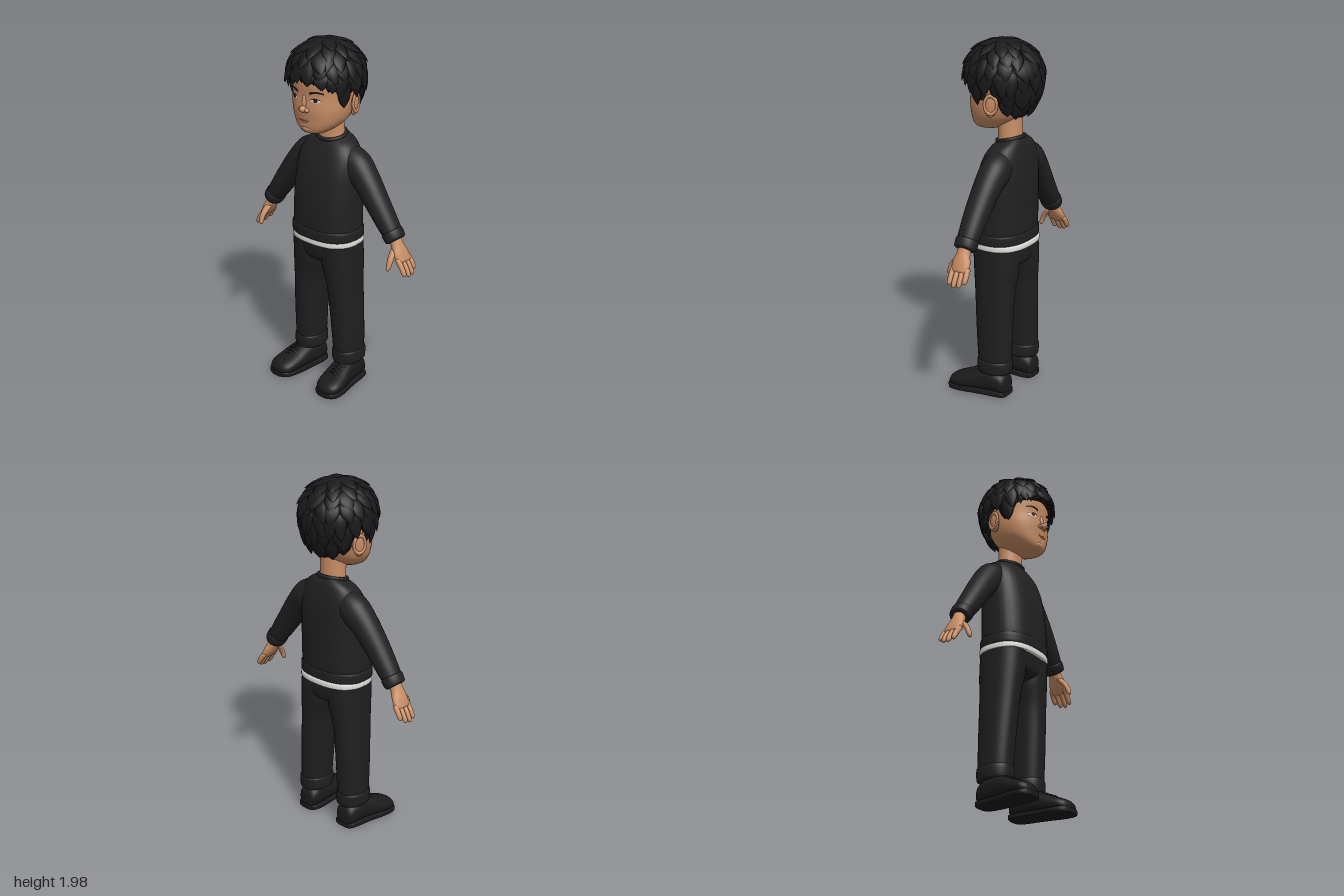
import * as THREE from 'three';
import { mergeGeometries } from 'three/addons/utils/BufferGeometryUtils.js';

const V = (x, y, z) => new THREE.Vector3(x, y, z);
const rad = THREE.MathUtils.degToRad;
const mat = (name, color, side = THREE.FrontSide) => Object.assign(new THREE.MeshStandardMaterial({ color, side }), { name });

// Catmull-Rom refinement of rows of numbers
function smooth(keys, n = 4) {
  const out = [], last = keys.length - 1;
  for (let i = 0; i < last; i++) {
    const a = keys[Math.max(i - 1, 0)], b = keys[i], c = keys[i + 1], d = keys[Math.min(i + 2, last)];
    for (let k = 0; k < n; k++) {
      const t = k / n;
      out.push(b.map((_, j) => 0.5 * (2 * b[j] + (c[j] - a[j]) * t + (2 * a[j] - 5 * b[j] + 4 * c[j] - d[j]) * t * t
        + (3 * b[j] - a[j] - 3 * c[j] + d[j]) * t ** 3)));
    }
  }
  return [...out, keys[last]];
}

// Surface over rows of points; closed rows wrap and get end caps
function skin(rows, closed = true) {
  const n = rows[0].length, pos = [], idx = [];
  rows.forEach(r => r.forEach(p => pos.push(p.x, p.y, p.z)));
  for (let i = 0; i < rows.length - 1; i++) for (let j = 0; j < (closed ? n : n - 1); j++) {
    const a = i * n + j, b = i * n + (j + 1) % n;
    idx.push(a, b, a + n, b, b + n, a + n);
  }
  if (closed) [0, rows.length - 1].forEach(i => {
    const c = rows[i].reduce((s, p) => s.add(p), V(0, 0, 0)).divideScalar(n), m = pos.length / 3;
    pos.push(c.x, c.y, c.z);
    for (let j = 0; j < n; j++) {
      const a = i * n + j, b = i * n + (j + 1) % n;
      idx.push(m, ...(i ? [a, b] : [b, a]));
    }
  });
  const g = new THREE.BufferGeometry();
  g.setAttribute('position', new THREE.Float32BufferAttribute(pos, 3));
  g.setIndex(idx);
  g.computeVertexNormals();
  return g;
}

// Loft through rings {c, u, v} with a superellipse outline
function loft(rings, seg = 28, power = 2) {
  const d = rings[rings.length - 1].c.clone().sub(rings[0].c);
  const f = x => Math.sign(x) * Math.abs(x) ** (2 / power);
  const flip = rings[0].u.clone().cross(rings[0].v).dot(d) < 0 ? -1 : 1;
  return skin(rings.map(({ c, u, v }) => Array.from({ length: seg }, (_, j) => {
    const t = j / seg * Math.PI * 2;
    return c.clone().addScaledVector(u, f(Math.cos(t))).addScaledVector(v, f(Math.sin(t)) * flip);
  })));
}

// Upright body: keys [y, centre x, half width, front z, back z, forward dip]
const stack = (keys, power = 2.3, side = 1, n = 4) => loft(smooth(keys, n).map(([y, x, w, f, b, dip]) =>
  ({ c: V(side * x, y, (f + b) / 2), u: V(w, 0, 0), v: V(0, -(dip || 0), (f - b) / 2) })), 36, power);

// Limb: keys [x, y, z, radius across, radius in z]
function limb(keys, side = 1, seg = 20) {
  const k = smooth(keys);
  return loft(k.map(([x, y, z, r, rz], i) => {
    const a = k[Math.max(i - 1, 0)], b = k[Math.min(i + 1, k.length - 1)];
    const t = V(b[0] - a[0], b[1] - a[1], 0).normalize();
    return { c: V(side * x, y, z), u: V(-side * t.y * r, t.x * r, 0), v: V(0, 0, rz) };
  }), seg);
}

const HEAD = [[1.493, 0, 0.04, 0.142, 0.05], [1.503, 0, 0.075, 0.157, 0.01], [1.53, 0, 0.112, 0.167, -0.05],
  [1.57, 0, 0.142, 0.171, -0.1], [1.63, 0, 0.16, 0.177, -0.14], [1.7, 0, 0.167, 0.174, -0.17], [1.78, 0, 0.172, 0.178, -0.18],
  [1.86, 0, 0.16, 0.16, -0.17], [1.93, 0, 0.11, 0.1, -0.12], [1.96, 0, 0.03, 0.02, -0.05]];
const headRows = smooth(HEAD, 8);
function faceZ(x, y) {
  const i = Math.max(1, headRows.findIndex(r => r[0] >= y)), a = headRows[i - 1], b = headRows[i], t = (y - a[0]) / (b[0] - a[0]);
  const [, , w, f, k] = a.map((v, j) => v + (b[j] - v) * t);
  return (f + k) / 2 + (f - k) / 2 * Math.max(0, 1 - (Math.abs(x) / w) ** 2.3) ** (1 / 2.3);
}
// Thin patch laid on the face between two edge curves
function patch(cx, cy, hw, low, high, lift) {
  const rows = [0, 1, 2, 3, 4].map(i => Array.from({ length: 15 }, (_, j) => {
    const u = j / 7 - 1, x = cx + u * hw, y = cy + low(u) + (high(u) - low(u)) * i / 4;
    return V(x, y, faceZ(x, y) + lift);
  }));
  return skin(rows, false);
}

// Hair envelope: polar angle t from the crown, azimuth a from the front
function hairPoint(t, a, lift) {
  const c = Math.cos(t), ry = c > 0 ? 0.185 : 0.27;
  const n = V(Math.sin(t) * Math.sin(a) / 0.2, c / ry, Math.sin(t) * Math.cos(a) / 0.215).normalize();
  return { n, p: V(0.2 * Math.sin(t) * Math.sin(a), 1.79 + ry * c, 0.215 * Math.sin(t) * Math.cos(a)).addScaledVector(n, lift) };
}
const HAIRLINE = [[0, 1.785], [25, 1.765], [50, 1.745], [62, 1.71], [72, 1.64], [80, 1.66], [88, 1.72], [104, 1.72], [114, 1.62], [150, 1.57], [180, 1.55]];
function hairEnd(a) {
  const d = Math.abs(Math.atan2(Math.sin(a), Math.cos(a))) * 180 / Math.PI;
  const i = Math.max(1, HAIRLINE.findIndex(h => h[0] >= d - 1e-6)), [d0, y0] = HAIRLINE[i - 1], [d1, y1] = HAIRLINE[i];
  const y = y0 + (y1 - y0) * (d - d0) / (d1 - d0) - 1.79;
  return Math.acos(y / (y > 0 ? 0.185 : 0.27));
}
function lock(t0, t1, a, twist, width, tipLift) {
  const rings = [];
  for (let i = 0; i <= 8; i++) {
    const s = i / 8, at = q => hairPoint(t0 + (t1 - t0) * q, a + twist * q, -0.006 + tipLift * q * q);
    const { p, n } = at(s), d = at(s + 0.02).p.sub(at(s - 0.02).p).normalize();
    const k = Math.max(0.03, Math.max(0, Math.sin(Math.PI * (0.2 + 0.8 * s))) ** 0.75);
    rings.push({ c: p, u: d.cross(n).normalize().multiplyScalar(width * k), v: n.multiplyScalar(0.013 * k) });
  }
  return loft(rings, 8, 1.7);
}

export function createModel() {
  const root = new THREE.Group();
  const skinM = mat('skin', 0xc98f66), lipM = mat('lips', 0xb27458), hairM = mat('hair', 0x1a1a1c, THREE.DoubleSide);
  const sweaterM = mat('sweater', 0x212122), trouserM = mat('trousers', 0x1f1f20), shoeM = mat('shoes', 0x1b1b1c);
  const whiteM = mat('white cloth', 0xe2e2de), eyeM = mat('eye white', 0xe6ddd4), irisM = mat('iris', 0x2a1a14);
  const add = (name, geo, m, parent = root) => {
    const mesh = new THREE.Mesh(geo, m);
    mesh.name = name;
    parent.add(mesh);
    return mesh;
  };
  const ball = (name, m, x, y, z, rx, ry, rz) => {
    const b = add(name, new THREE.SphereGeometry(1, 20, 14), m);
    b.position.set(x, y, z);
    b.scale.set(rx, ry, rz);
    return b;
  };

  // Head, neck, nose and mouth
  add('head', stack(HEAD, 2.3, 1, 8), skinM);
  add('neck', stack([[1.38, 0, 0.082, 0.03, -0.115], [1.46, 0, 0.075, 0.022, -0.105], [1.6, 0, 0.075, 0.03, -0.105]], 2), skinM);
  ball('noseBridge', skinM, 0, 1.665, 0.171, 0.014, 0.045, 0.015);
  ball('noseTip', skinM, 0, 1.634, 0.184, 0.02, 0.018, 0.022);
  add('upperLip', patch(0, 1.573, 0.04, () => 0, u => 0.009 * (1 - u * u) - 0.003 * Math.exp(-u * u * 40), 0.004), lipM);
  add('lowerLip', patch(0, 1.57, 0.034, u => -0.011 * (1 - u * u), () => 0, 0.005), lipM);
  add('mouthLine', patch(0, 1.572, 0.04, u => -0.0015 * (1 - u * u), u => 0.0015 * (1 - u * u), 0.0065), irisM);
  ball('chin', skinM, 0, 1.522, 0.146, 0.04, 0.022, 0.025);

  for (const s of [1, -1]) {
    const side = s > 0 ? 'left' : 'right';
    // Face features and ears
    ball(side + 'Nostril', skinM, s * 0.021, 1.629, 0.175, 0.015, 0.012, 0.016);
    add(side + 'Eye', patch(s * 0.072, 1.685, 0.03, u => -0.009 * (1 - u * u), u => 0.012 * (1 - u * u), 0.002), eyeM);
    add(side + 'Iris', patch(s * 0.072, 1.6865, 0.0115, u => -0.0095 * Math.sqrt(1 - u * u), u => 0.0095 * Math.sqrt(1 - u * u), 0.004), irisM);
    add(side + 'Lashes', patch(s * 0.072, 1.685, 0.033, u => 0.011 * (1 - u * u) - 0.001, u => 0.015 * (1 - u * u) + 0.001, 0.005), hairM);
    add(side + 'Eyebrow', patch(s * 0.077, 1.733, 0.037, u => -0.009 * u * u - 0.006 * (1 - s * u * 0.5), u => 0.006 - 0.009 * u * u, 0.005), hairM);
    const ear = ball(side + 'Ear', skinM, s * 0.172, 1.65, -0.028, 0.014, 0.062, 0.036);
    ear.rotation.set(-0.15, s * 0.3, 0);
    const rim = add(side + 'EarRim', new THREE.TorusGeometry(0.034, 0.008, 8, 24), skinM);
    rim.position.set(s * 0.18, 1.658, -0.03);
    rim.rotation.y = Math.PI / 2 + s * 0.3;
    rim.scale.y = 1.4;

    // Sleeve and cuff
    add(side + 'Sleeve', limb([[0.08, 1.375, -0.055, 0.05, 0.06], [0.16, 1.31, -0.055, 0.086, 0.083], [0.24, 1.235, -0.05, 0.076, 0.077],
      [0.33, 1.12, -0.045, 0.066, 0.069], [0.4, 1.025, -0.045, 0.058, 0.062], [0.435, 0.98, -0.045, 0.05, 0.056]], s, 28), sweaterM);
    add(side + 'Cuff', limb([[0.422, 0.997, -0.045, 0.05, 0.055], [0.427, 0.99, -0.045, 0.058, 0.063], [0.45, 0.958, -0.045, 0.054, 0.06],
      [0.456, 0.95, -0.045, 0.042, 0.048]], s, 28), sweaterM);

    // Hand with four fingers and a thumb
    const hand = new THREE.Group();
    hand.name = side + 'Hand';
    root.add(hand);
    add('palm', limb([[0.44, 0.975, -0.045, 0.034, 0.036], [0.463, 0.93, -0.045, 0.031, 0.038], [0.485, 0.89, -0.047, 0.027, 0.052],
      [0.508, 0.85, -0.052, 0.019, 0.054], [0.515, 0.84, -0.052, 0.01, 0.045]], s), skinM, hand);
    [[-0.008, 0.9], [-0.037, 1], [-0.066, 0.95], [-0.093, 0.75]].forEach(([z, l], i) =>
      add('finger' + (i + 1), limb([[0.495, 0.865, z, 0.015, 0.015], [0.495 + 0.033 * l, 0.865 - 0.045 * l, z * 1.05, 0.015, 0.0145],
        [0.495 + 0.055 * l, 0.865 - 0.083 * l, z * 1.05, 0.012, 0.0125], [0.495 + 0.061 * l, 0.865 - 0.096 * l, z * 1.05, 0.004, 0.004]], s, 12), skinM, hand));
    add('thumb', limb([[0.462, 0.91, -0.02, 0.02, 0.02], [0.47, 0.875, 0.012, 0.018, 0.018], [0.473, 0.84, 0.031, 0.015, 0.015],
      [0.472, 0.815, 0.039, 0.012, 0.012], [0.471, 0.805, 0.041, 0.004, 0.004]], s, 14), skinM, hand);

    // Trouser leg and turned-up cuff
    add(side + 'Leg', stack([[0.14, 0.143, 0.07, 0.06, -0.12], [0.22, 0.142, 0.076, 0.066, -0.126], [0.4, 0.135, 0.079, 0.08, -0.13],
      [0.6, 0.122, 0.083, 0.095, -0.135], [0.74, 0.103, 0.1, 0.11, -0.147], [0.87, 0.1, 0.098, 0.118, -0.145]], 2.3, s), trouserM);
    add(side + 'TrouserCuff', stack([[0.132, 0.143, 0.07, 0.055, -0.117], [0.137, 0.143, 0.08, 0.066, -0.128], [0.17, 0.143, 0.083, 0.07, -0.131],
      [0.2, 0.143, 0.081, 0.069, -0.13], [0.21, 0.143, 0.072, 0.062, -0.122]], 2.3, s), trouserM);

    // Shoe: rows of [z, centre x, half width, top]
    const last = smooth([[-0.12, 0.146, 0.03, 0.085], [-0.108, 0.146, 0.055, 0.12], [-0.06, 0.147, 0.067, 0.15], [0, 0.152, 0.07, 0.155],
      [0.06, 0.16, 0.074, 0.137], [0.12, 0.169, 0.079, 0.11], [0.18, 0.176, 0.076, 0.088], [0.215, 0.178, 0.058, 0.07], [0.231, 0.178, 0.025, 0.05]]);
    const shoe = (lo, hi, grow, p) => loft(last.map(([z, x, w, top]) => {
      const t = hi || top;
      return { c: V(s * x, (lo + t) / 2, z * (1 + grow)), u: V(w + grow / 4, 0, 0), v: V(0, (t - lo) / 2, 0) };
    }), 28, p);
    add(side + 'Shoe', shoe(0.008, 0, 0, 2.3), shoeM);
    add(side + 'Sole', shoe(0, 0.03, 0.02, 6), shoeM);
    for (let i = 0; i < 4; i++) {
      const z = 0.065 + i * 0.022, y = 0.137 - i * 0.0098, x = 0.161 + i * 0.003;
      const path = new THREE.CatmullRomCurve3([-0.04, 0, 0.04].map(d => V(s * (x + d), y - d * d * 9, z + d * 0.1)));
      add(side + 'Lace' + (i + 1), new THREE.TubeGeometry(path, 10, 0.006, 6), shoeM);
    }
  }

  // Sweater body, hem, collar and shirt edge
  add('sweaterBody', stack([[0.9, 0, 0.193, 0.13, -0.155, 0], [0.95, 0, 0.2, 0.136, -0.162, 0], [1.05, 0, 0.2, 0.132, -0.163, 0],
    [1.16, 0, 0.199, 0.122, -0.165, 0], [1.27, 0, 0.195, 0.102, -0.163, 0], [1.35, 0, 0.183, 0.073, -0.155, 0],
    [1.41, 0, 0.148, 0.045, -0.14, 0.01], [1.44, 0, 0.1, 0.028, -0.123, 0.016], [1.447, 0, 0.08, 0.02, -0.112, 0.016]], 2.5), sweaterM);
  add('sweaterHem', stack([[0.882, 0, 0.19, 0.128, -0.155], [0.886, 0, 0.204, 0.14, -0.165], [0.91, 0, 0.207, 0.142, -0.167],
    [0.938, 0, 0.206, 0.141, -0.166], [0.945, 0, 0.194, 0.132, -0.158]], 2.5), sweaterM);
  const collar = add('collar', new THREE.TorusGeometry(0.08, 0.011, 10, 40), sweaterM);
  collar.position.set(0, 1.447, -0.044);
  collar.rotation.x = Math.PI / 2 + 0.22;
  collar.scale.y = 0.92;
  add('shirtEdge', stack([[0.855, 0, 0.195, 0.13, -0.16], [0.857, 0, 0.204, 0.14, -0.172], [0.884, 0, 0.204, 0.14, -0.172],
    [0.89, 0, 0.195, 0.13, -0.16]], 2.5), whiteM);

  // Hips
  add('hips', stack([[0.725, 0, 0.04, 0.05, -0.08], [0.75, 0, 0.11, 0.095, -0.13], [0.79, 0, 0.185, 0.114, -0.147],
    [0.87, 0, 0.198, 0.12, -0.148]], 2.5), trouserM);

  // Hair: inner cap, overlapping rows of locks, then a fringe row along the hairline
  const capRows = Array.from({ length: 17 }, (_, i) => Array.from({ length: 72 }, (_, j) => {
    const a = Math.PI / 2 - j / 72 * Math.PI * 2, f = Math.max(i, 0.02) / 16;
    return hairPoint(hairEnd(a) * Math.min(1, f * 1.06) * 0.97, a, i > 15 ? -0.045 : -0.01).p;
  }));
  add('hairCap', skin(capRows), hairM);
  let seed = 7;
  const rnd = () => {
    seed = (seed * 16807) % 2147483647;
    return seed / 2147483647;
  };
  const locks = [];
  [[2, 7, 40], [17, 11, 40], [36, 15, 38], [55, 19, 36], [74, 22, 34], [94, 22, 30], [112, 20, 28]].forEach(([t, count, len], r) => {
    for (let i = 0; i < count; i++) {
      const a = (i + 0.5 * (r % 2) + 0.4 * (rnd() - 0.5)) / count * Math.PI * 2;
      const t0 = rad(t + 6 * (rnd() - 0.5)), t1 = Math.min(t0 + rad(len), hairEnd(a));
      const twist = (rnd() - 0.4) * 0.3, lift = 0.013 + 0.012 * rnd();
      if (t1 - t0 > rad(18)) locks.push(lock(t0, t1, a, twist, 0.036 + 0.01 * rnd(), lift));
    }
  });
  for (let i = 0; i < 34; i++) {
    const a = (i + 0.3 * rnd()) / 34 * Math.PI * 2, end = hairEnd(a) + rad(5 * (rnd() - 0.3));
    locks.push(lock(end - rad(46), end, a, (rnd() - 0.5) * 0.16, 0.032, -0.004 - 0.008 * rnd()));
  }
  add('hairLocks', mergeGeometries(locks), hairM);
  return root;
}
